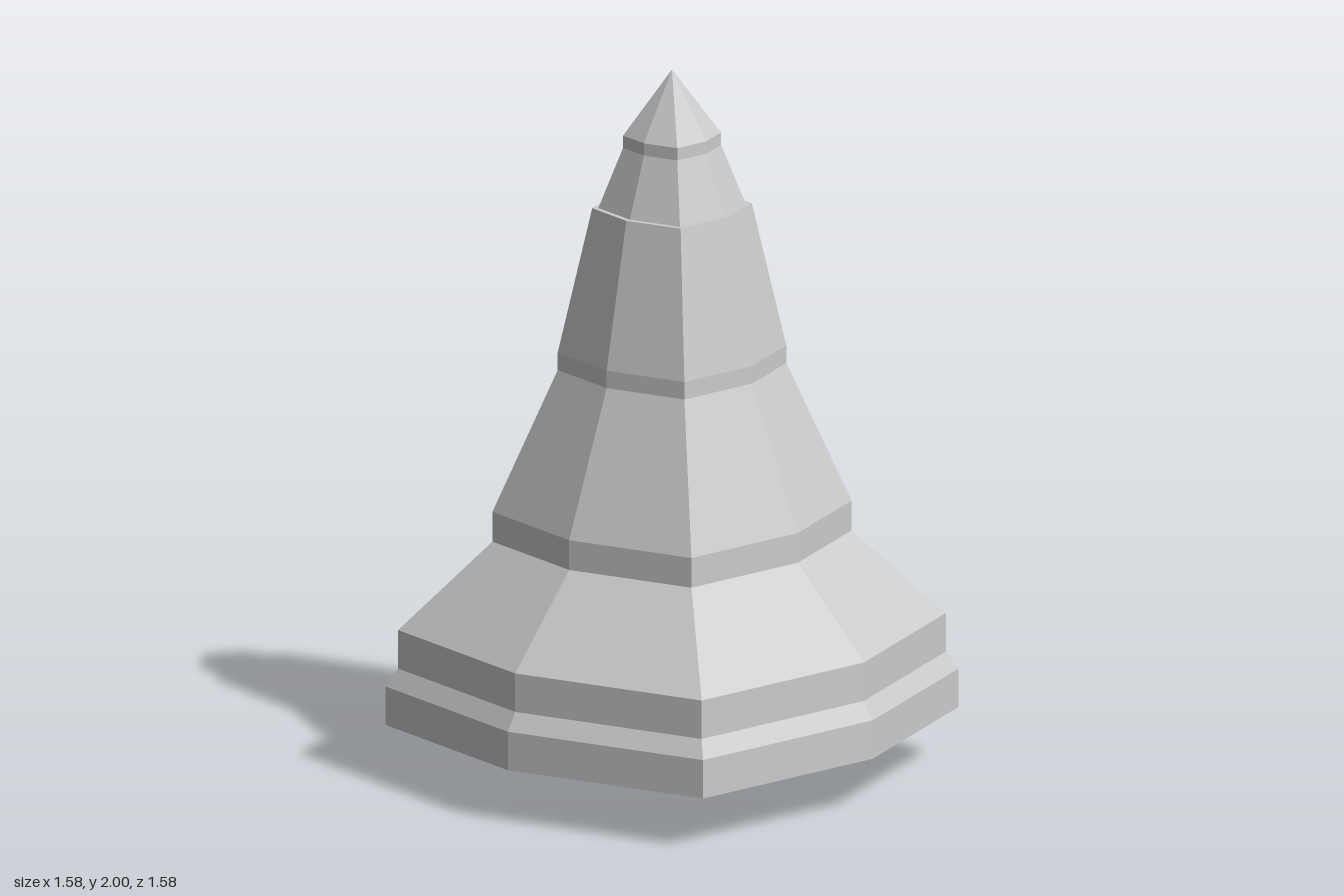
import * as THREE from 'three';

const material = new THREE.MeshStandardMaterial({ color: 0xcccccc, flatShading: true });

// Turn a profile [radius, y] (bottom to top) into an eight-sided faceted solid.
// The diagonal corners are pulled in, so the plan is a diamond with bent sides.
function facetedSolid(name, profile) {
  const points = profile.map(([r, y]) => new THREE.Vector2(r, y));
  const lathe = new THREE.LatheGeometry(points, 8);
  const pos = lathe.attributes.position;
  for (let i = 0; i < pos.count; i++) {
    const x = pos.getX(i), z = pos.getZ(i);
    const r = Math.hypot(x, z);
    if (Math.min(Math.abs(x), Math.abs(z)) > 0.3 * r) {
      pos.setX(i, Math.sign(x) * r * 0.636);
      pos.setZ(i, Math.sign(z) * r * 0.588);
    }
  }
  const geometry = lathe.toNonIndexed();
  geometry.computeVertexNormals();
  const mesh = new THREE.Mesh(geometry, material);
  mesh.name = name;
  return mesh;
}

export function createModel() {
  const group = new THREE.Group();
  group.name = 'tieredSpire';

  // Short peg underneath
  group.add(facetedSolid('peg', [[0, 0], [0.135, 0], [0.135, 0.145]]));

  // Wide stepped base with a shallow conical underside
  group.add(facetedSolid('base', [
    [0, 0.137], [0.79, 0.15], [0.79, 0.26], [0.755, 0.31], [0.755, 0.42], [0.495, 0.665],
  ]));

  // Tapering tiers, each starting with a narrow upright band
  group.add(facetedSolid('lowerTier', [[0.495, 0.665], [0.495, 0.75], [0.315, 1.15]]));
  group.add(facetedSolid('middleTier', [[0.315, 1.15], [0.315, 1.2], [0.22, 1.61], [0.203, 1.61]]));
  group.add(facetedSolid('upperTier', [[0.203, 1.61], [0.135, 1.78]]));

  // Pointed cap
  group.add(facetedSolid('tip', [[0.135, 1.78], [0.135, 1.815], [0, 2]]));

  return group;
}
